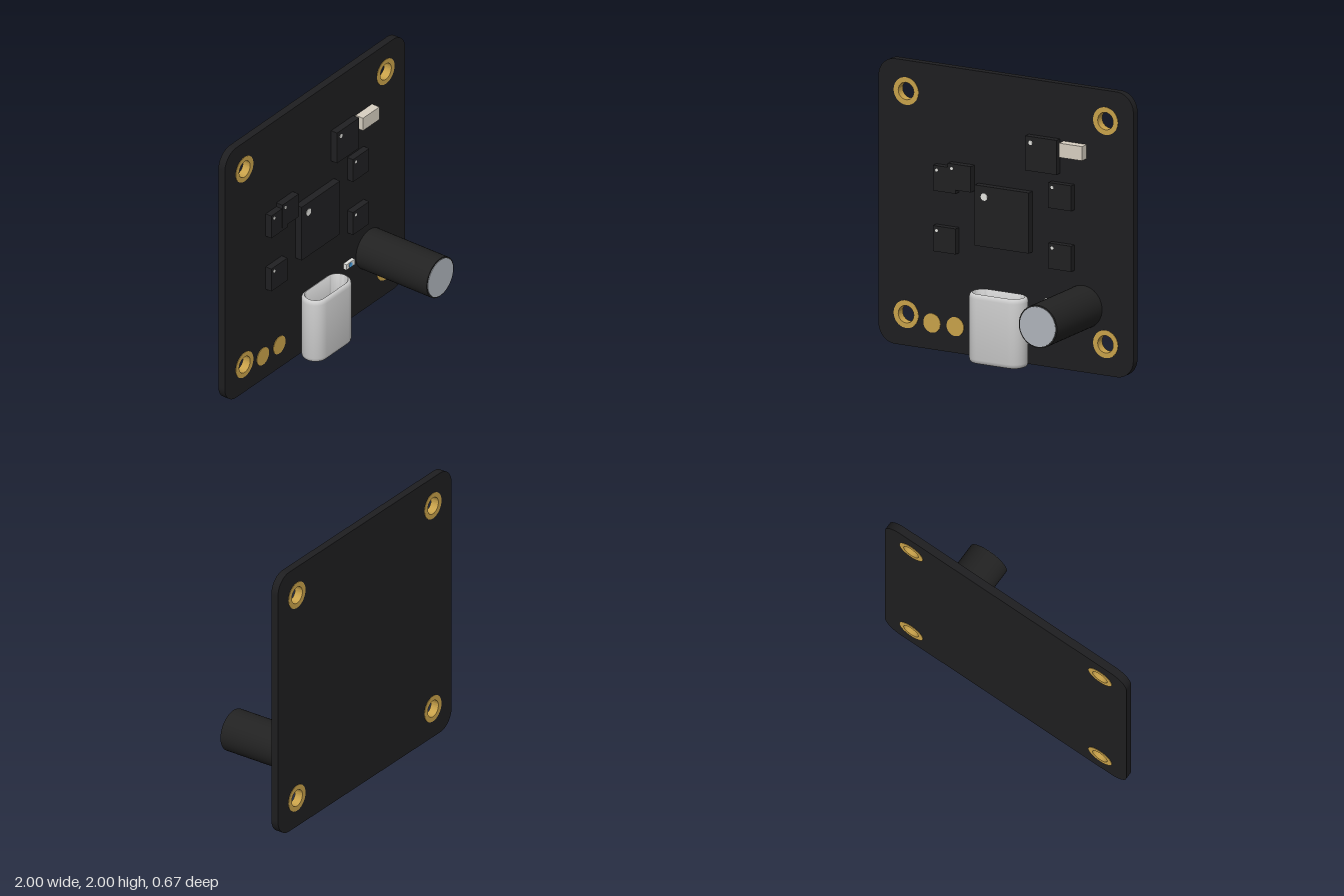
import * as THREE from 'three';
import { toCreasedNormals, mergeVertices } from 'three/addons/utils/BufferGeometryUtils.js';

const BACK = -0.331, FRONT = -0.276; // faces of the circuit board

const mat = (color, side = THREE.FrontSide) => new THREE.MeshStandardMaterial({ color, side });
const boardMat = mat(0x1e1e20), chipMat = mat(0x202022), gold = mat(0xc9a24a);
const metal = mat(0xcccccc, THREE.DoubleSide), ceramic = mat(0xd8d0c2), white = mat(0xe4e4e0);
const blue = mat(0x4aa3e8), sleeveMat = mat(0x222222), capTopMat = mat(0xb0b5bc);

export function createModel() {
  const model = new THREE.Group();
  const add = (name, geo, material, x = 0, y = 0, z = 0) => {
    const mesh = new THREE.Mesh(geo, material);
    mesh.name = name;
    mesh.position.set(x, y, z);
    model.add(mesh);
    return mesh;
  };

  // box given by its front rectangle, standing on the board up to zTop
  const block = (name, x0, x1, y0, y1, zTop, material) =>
    add(name, new THREE.BoxGeometry(x1 - x0, y1 - y0, zTop - FRONT), material,
      (x0 + x1) / 2, (y0 + y1) / 2, (zTop + FRONT) / 2);

  // round part whose axis points to the front, from z0 to z1
  const disc = (name, x, y, r, z0, z1, material, sides = 32) =>
    add(name, new THREE.CylinderGeometry(r, r, z1 - z0, sides).rotateX(Math.PI / 2), material,
      x, y, (z0 + z1) / 2);

  const circleHole = (shape, x, y, r) =>
    shape.holes.push(new THREE.Path().absarc(x, y, r, 0, Math.PI * 2, true));

  // board with rounded corners and mounting holes
  const mounts = [[-0.783, 0.22], [0.783, 0.22], [-0.783, 1.785], [0.783, 1.785]];
  const c = 0.13;
  const outline = new THREE.Shape();
  outline.absarc(1 - c, c, c, -Math.PI / 2, 0);
  outline.absarc(1 - c, 2 - c, c, 0, Math.PI / 2);
  outline.absarc(-1 + c, 2 - c, c, Math.PI / 2, Math.PI);
  outline.absarc(-1 + c, c, c, Math.PI, Math.PI * 1.5);
  mounts.forEach(([x, y]) => circleHole(outline, x, y, 0.064));
  add('board', new THREE.ExtrudeGeometry(outline,
    { depth: FRONT - BACK, bevelEnabled: false, curveSegments: 12 }), boardMat, 0, 0, BACK);

  // plated rings through the mounting holes
  const ring = new THREE.Shape().absarc(0, 0, 0.097, 0, Math.PI * 2);
  circleHole(ring, 0, 0, 0.061);
  const ringGeo = toCreasedNormals(new THREE.ExtrudeGeometry(ring,
    { depth: FRONT - BACK + 0.006, bevelEnabled: false, curveSegments: 32 }), 0.6);
  mounts.forEach(([x, y]) => add('mountingRing', ringGeo, gold, x, y, BACK - 0.003));

  // solder pads
  [-0.58, -0.397].forEach(x => disc('solderPad', x, 0.185, 0.067, FRONT, FRONT + 0.004, gold));

  // chips: left, right, bottom, top, front z, dot inset, dot radius
  [
    ['mainChip', -0.215, 0.21, 0.79, 1.215, -0.223, 0.075, 0.026],
    ['upperChip', 0.18, 0.425, 1.37, 1.612, -0.225, 0.043, 0.015],
    ['smallChip', 0.36, 0.54, 1.13, 1.308, -0.228, 0.031, 0.011],
    ['smallChip', 0.36, 0.54, 0.705, 0.884, -0.228, 0.031, 0.011],
    ['smallChip', -0.546, -0.367, 1.13, 1.308, -0.228, 0.031, 0.011],
    ['smallChip', -0.546, -0.367, 0.705, 0.884, -0.228, 0.031, 0.011],
    ['overlappingChip', -0.428, -0.246, 1.157, 1.338, -0.224, 0.033, 0.011],
  ].forEach(([name, x0, x1, y0, y1, z, inset, r]) => {
    block(name, x0, x1, y0, y1, z, chipMat);
    disc(name + 'Dot', x0 + inset, y1 - inset, r, z - 0.004, z + 0.003, white, 20);
  });

  // ceramic antenna and indicator light
  block('antenna', 0.452, 0.634, 1.5, 1.6, -0.213, ceramic);
  block('lightBody', 0.315, 0.41, 0.437, 0.48, -0.25, white);
  disc('lightLens', 0.361, 0.458, 0.018, -0.255, -0.245, blue, 20);

  // capacitor with a metal end
  disc('capacitorSleeve', 0.605, 0.458, 0.15, FRONT, 0.329, sleeveMat, 40);
  disc('capacitorTop', 0.605, 0.458, 0.14, 0.32, 0.333, capTopMat, 40);

  add('socketShell', socketGeometry(), metal, 0, 0, -0.178);
  return model;
}

// open tube of stadium section with lips rolled inwards at both ends
function socketGeometry() {
  const halfWidth = 0.218, radius = 0.097, height = 0.488, arc = 12;
  const n = 2 * (arc + 1);
  const lip = [[0.022, 0], [0.011, 0.005], [0.004, 0.014], [0, 0.032]]; // inset, y
  const profile = [...lip, ...lip.map(([i, y]) => [i, height - y]).reverse(),
    [0.026, height - 0.004], [0.026, 0.004]];
  const positions = [], index = [];
  for (const [inset, y] of profile) {
    for (let k = 0; k < n; k++) {
      const side = k <= arc ? 1 : -1;
      const a = (k <= arc ? k : k - 1) / arc * Math.PI - Math.PI / 2;
      const r = radius - inset;
      positions.push(side * (halfWidth - radius) + r * Math.cos(a), y, -r * Math.sin(a));
    }
  }
  for (let j = 0; j < profile.length; j++) {
    const j2 = (j + 1) % profile.length;
    for (let k = 0; k < n; k++) {
      const k2 = (k + 1) % n;
      const a = j * n + k, b = j * n + k2, d = j2 * n + k, e = j2 * n + k2;
      index.push(a, b, e, a, e, d);
    }
  }
  const geo = new THREE.BufferGeometry();
  geo.setAttribute('position', new THREE.Float32BufferAttribute(positions, 3));
  geo.setIndex(index);
  return toCreasedNormals(mergeVertices(geo), 0.8);
}
